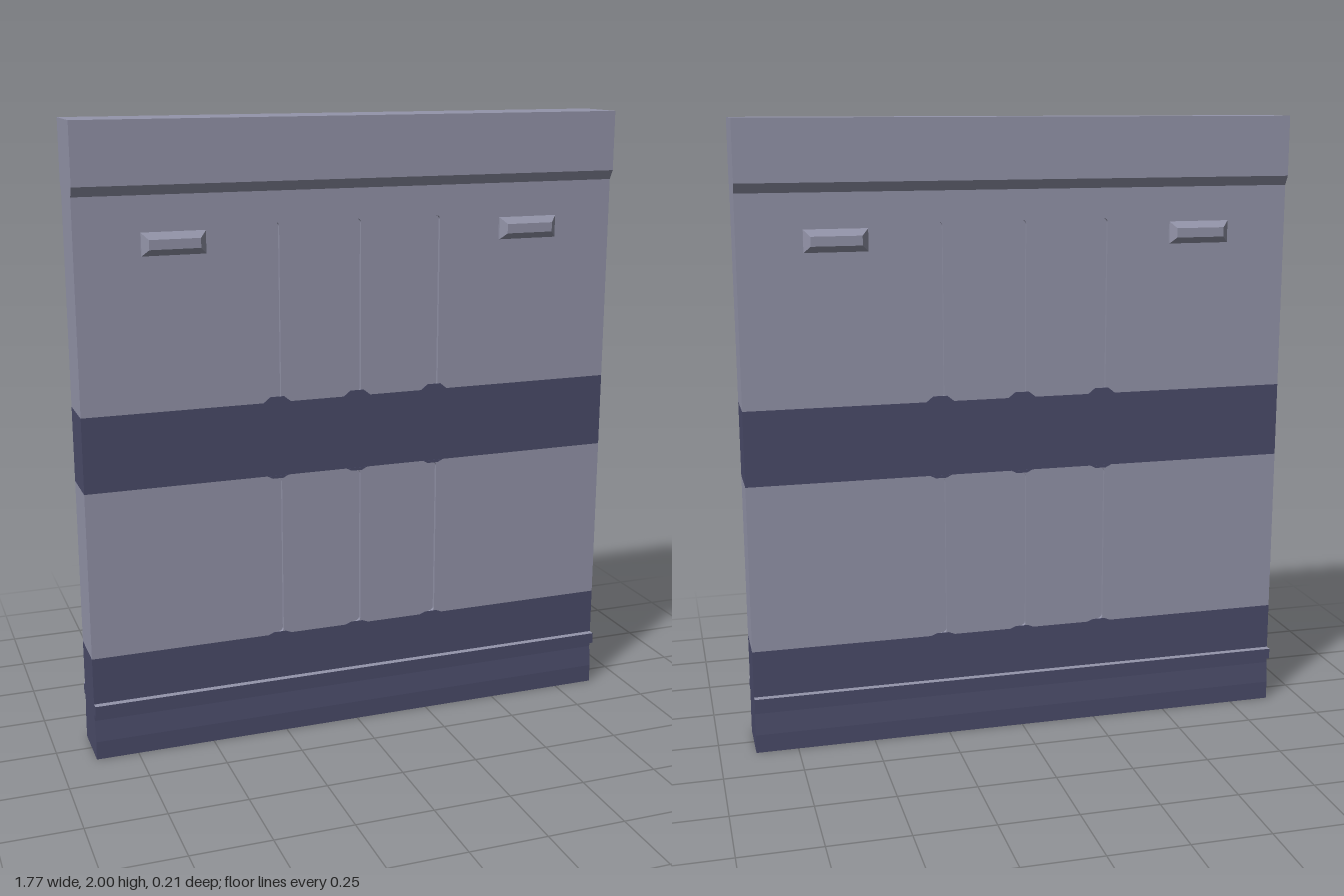
import * as THREE from 'three';

const HALF_W = 0.885, HALF_D = 0.08, GROOVE_D = 0.012;
const RIBS = [-0.267, 0, 0.267];

const material = (name, color, side = THREE.FrontSide) => {
  const m = new THREE.MeshStandardMaterial({ color, side });
  m.name = name;
  return m;
};

export function createModel() {
  const root = new THREE.Group();
  root.name = 'wallPanel';
  const light = material('paleGreyViolet', 0x9495aa);
  const dark = material('darkSlateViolet', 0x4b4c6a);

  const add = (parent, name, geometry, mat) => {
    const mesh = new THREE.Mesh(geometry, mat);
    mesh.name = name;
    parent.add(mesh);
    return mesh;
  };

  // Sweeps a symmetric [halfDepth, y] outline across the full width
  const sweep = (outline) => {
    const right = outline.map(([d, y]) => new THREE.Vector2(d, y));
    const left = outline.map(([d, y]) => new THREE.Vector2(-d, y)).reverse();
    const g = new THREE.ExtrudeGeometry(new THREE.Shape([...right, ...left]),
      { depth: HALF_W * 2, bevelEnabled: false });
    g.translate(0, 0, -HALF_W);
    g.rotateY(Math.PI / 2);
    return g;
  };

  // Core sections and colour bands
  add(root, 'base', sweep([[0.088, 0], [0.088, 0.06], [HALF_D, 0.13], [HALF_D, 0.34]]), dark);
  add(root, 'middleBand', sweep([[HALF_D, 0.88], [HALF_D, 1.12]]), dark);
  add(root, 'topCap', sweep([[HALF_D, 1.72], [HALF_D, 1.78], [0.097, 1.81], [0.097, 2]]), light);
  const sections = [[0.34, 0.88, 0.345, 0.872], [1.12, 1.72, 1.128, 1.685]];
  const inner = HALF_D - GROOVE_D;
  sections.forEach(([y0, y1]) =>
    add(root, 'panelCore', sweep([[inner, y0], [inner, y1]]), light));

  // Facing sheet with round-ended grooves cut through it
  const facing = ([y0, y1, g0, g1]) => {
    const s = new THREE.Shape([
      new THREE.Vector2(-HALF_W, y0), new THREE.Vector2(HALF_W, y0),
      new THREE.Vector2(HALF_W, y1), new THREE.Vector2(-HALF_W, y1)]);
    const r = 0.013;
    for (const x of RIBS) {
      const slot = new THREE.Path();
      slot.absarc(x, g1 - r, r, 0, Math.PI, false);
      slot.absarc(x, g0 + r, r, Math.PI, Math.PI * 2, false);
      slot.closePath();
      s.holes.push(slot);
    }
    return new THREE.ExtrudeGeometry(s, { depth: GROOVE_D, bevelEnabled: false, curveSegments: 6 });
  };

  // Bevelled block: a box whose outer face is shrunk
  const bevelBlock = (w, h, d, inset) => {
    const g = new THREE.BoxGeometry(w, h, d).toNonIndexed();
    const p = g.attributes.position;
    for (let i = 0; i < p.count; i++) {
      if (p.getZ(i) > 0) {
        p.setX(i, p.getX(i) - Math.sign(p.getX(i)) * inset);
        p.setY(i, p.getY(i) - Math.sign(p.getY(i)) * inset);
      }
    }
    g.computeVertexNormals();
    return g;
  };

  // Low paint bump beside a groove end
  const bump = (w, h) => new THREE.ExtrudeGeometry(new THREE.Shape([
    new THREE.Vector2(-w / 2, 0), new THREE.Vector2(w / 2, 0),
    new THREE.Vector2(w / 4, h), new THREE.Vector2(-w / 4, h)]),
  { depth: 0.001, bevelEnabled: false });

  // Both faces of the panel carry the same details
  for (const [name, turn] of [['frontFace', 0], ['backFace', Math.PI]]) {
    const face = new THREE.Group();
    face.name = name;
    face.rotation.y = turn;
    root.add(face);

    sections.forEach((s) => {
      add(face, 'groovedFacing', facing(s), light).position.z = inner;
    });

    for (const x of [-0.585, 0.585]) {
      add(face, 'raisedBlock', bevelBlock(0.198, 0.07, 0.008, 0), light).position.set(x, 1.635, 0.084);
      add(face, 'raisedBlockBevel', bevelBlock(0.198, 0.07, 0.018, 0.02), light).position.set(x, 1.635, 0.097);
    }

    for (const x of RIBS) {
      add(face, 'bandBump', bump(0.09, 0.018), dark).position.set(x, 1.12, HALF_D);
      const lower = add(face, 'bandBump', bump(0.07, 0.009), dark);
      lower.position.set(x, 0.88, HALF_D + 0.001);
      lower.rotation.x = Math.PI;
      add(face, 'baseBump', bump(0.08, 0.008), dark).position.set(x, 0.34, HALF_D);
    }

    // Bumper rail with a pale upper surface
    add(face, 'rail', new THREE.BoxGeometry(HALF_W * 2, 0.036, 0.024),
      [dark, dark, light, dark, dark, dark]).position.set(0, 0.169, 0.089);
  }
  return root;
}
